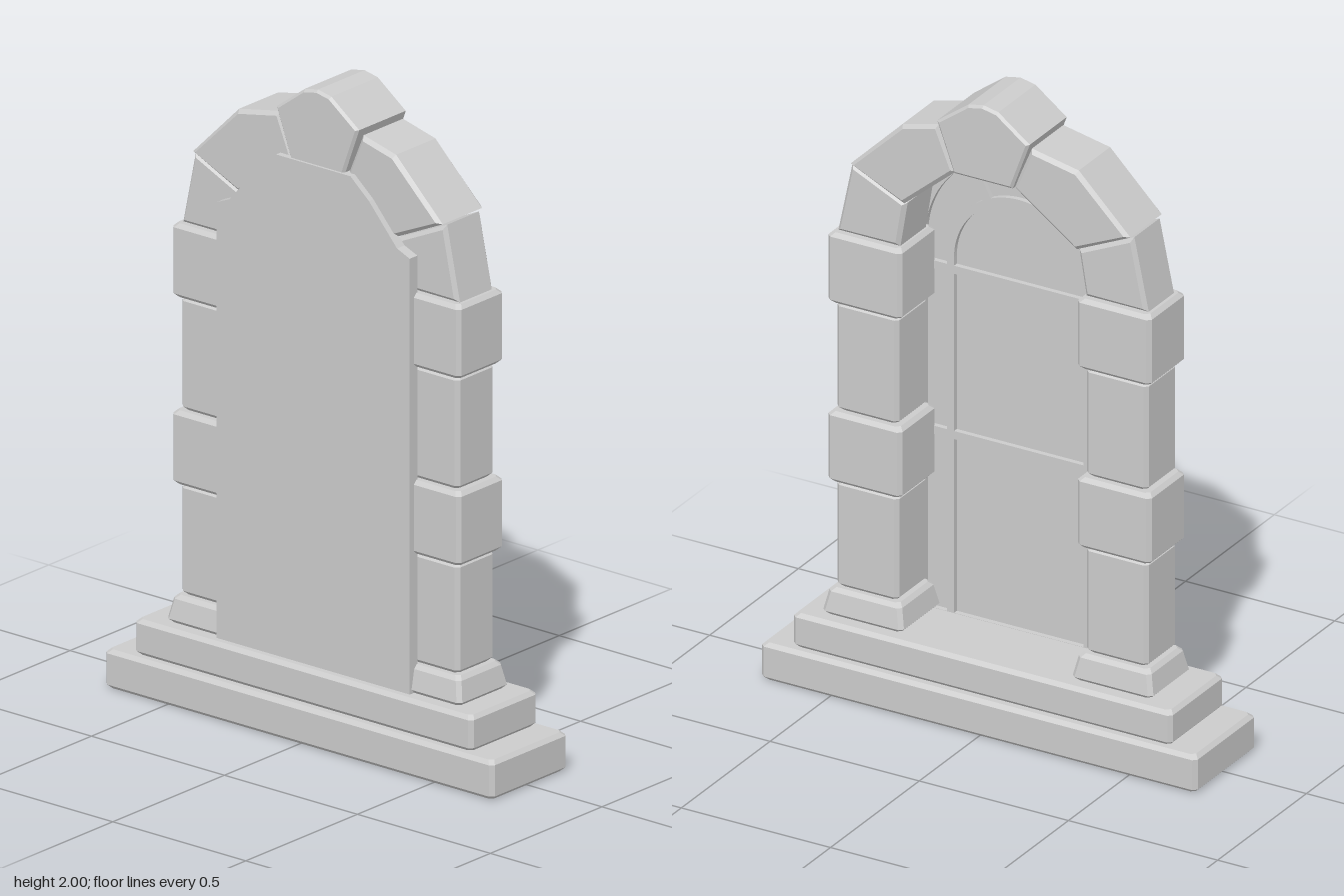
import * as THREE from 'three';

const B = 0.012; // chamfer on every stone edge
const grey = new THREE.MeshStandardMaterial({ color: 0xcccccc, flatShading: true });
const greyOpen = new THREE.MeshStandardMaterial({ color: 0xcccccc, flatShading: true, side: THREE.DoubleSide });

function add(group, name, geometry, material = grey) {
  const mesh = new THREE.Mesh(geometry, material);
  mesh.name = name;
  group.add(mesh);
  return mesh;
}

// Rectangular loop with cut corners at height y
function ring(y, hx, hz, c = B) {
  return [[hx, hz - c], [hx, c - hz], [hx - c, -hz], [c - hx, -hz],
    [-hx, c - hz], [-hx, hz - c], [c - hx, hz], [hx - c, hz]].map(([x, z]) => [x, y, z]);
}

// Chamfered block standing from y0 to y1; (hx, hz) at the foot, (tx, tz) at the top
function block(y0, y1, hx, hz, tx = hx, tz = hz, closed = true) {
  const loops = [ring(y0, hx - B, hz - B), ring(y0 + B, hx, hz), ring(y1 - B, tx, tz), ring(y1, tx - B, tz - B)];
  const pos = [];
  const tri = (a, b, c) => pos.push(...a, ...b, ...c);
  for (let i = 0; i < loops.length - 1; i++) {
    for (let j = 0; j < 8; j++) {
      const k = (j + 1) % 8, lo = loops[i], hi = loops[i + 1];
      tri(lo[j], lo[k], hi[k]);
      tri(lo[j], hi[k], hi[j]);
    }
  }
  const bottom = loops[0], top = loops[3];
  for (let j = 1; j < 7; j++) {
    tri(top[0], top[j], top[j + 1]);
    if (closed) tri(bottom[0], bottom[j + 1], bottom[j]);
  }
  const g = new THREE.BufferGeometry();
  g.setAttribute('position', new THREE.Float32BufferAttribute(pos, 3));
  g.computeVertexNormals();
  return g;
}

// Extrude a (z, y) shape along x from x0 to x1
function slab(shape, x0, x1, bevel = 0) {
  const g = new THREE.ExtrudeGeometry(shape, {
    depth: x1 - x0 - 2 * bevel, curveSegments: 24, bevelEnabled: bevel > 0,
    bevelThickness: bevel, bevelSize: bevel, bevelOffset: -bevel, bevelSegments: 1,
  });
  return g.rotateY(-Math.PI / 2).translate(x1 - bevel, 0, 0);
}

const polygon = (pts) => new THREE.Shape(pts.map(([z, y]) => new THREE.Vector2(z, y)));

// Round-headed outline: straight jambs from y0 up to the springing, then a half circle
function archPath(Type, z, y0, spring, r) {
  const p = new Type();
  p.moveTo(z - r, y0);
  p.lineTo(z + r, y0);
  p.lineTo(z + r, spring);
  p.absarc(z, spring, r, 0, Math.PI, false);
  p.lineTo(z - r, y0);
  return p;
}

export function createModel() {
  const model = new THREE.Group();
  model.name = 'archedStoneWindow';

  // Stepped base, the lower step hollow underneath
  add(model, 'lowerStep', block(0, 0.12, 0.17, 0.73, 0.17, 0.73, false), greyOpen);
  add(model, 'upperStep', block(0.12, 0.23, 0.15, 0.635));

  // Piers: plinth, then alternating shafts and wider blocks
  const courses = [
    ['plinth', 0.23, 0.315, 0.112, 0.135, 0.1, 0.122],
    ['lowerShaft', 0.315, 0.655, 0.084, 0.104],
    ['lowerBlock', 0.655, 0.882, 0.102, 0.124],
    ['upperShaft', 0.882, 1.23, 0.084, 0.104],
    ['upperBlock', 1.23, 1.457, 0.102, 0.124],
  ];
  for (const side of [1, -1]) {
    const pier = new THREE.Group();
    pier.name = side > 0 ? 'frontPier' : 'backPier';
    for (const [name, ...size] of courses) add(pier, name, block(...size));
    pier.position.z = 0.006 + side * 0.418;
    model.add(pier);
  }

  // Arch stones
  const springer = [[0.52, 1.457], [0.472, 1.685], [0.288, 1.602], [0.312, 1.457]];
  for (const side of [1, -1]) {
    const pts = springer.map(([z, y]) => [0.006 + side * z, y]);
    add(model, 'springerStone', slab(polygon(pts), -0.083, 0.083, B));
  }
  const haunches = [
    [[0.475, 1.69], [0.295, 1.607], [0.12, 1.755], [0.178, 1.893], [0.3, 1.862]],
    [[-0.463, 1.69], [-0.283, 1.607], [-0.075, 1.755], [-0.133, 1.893], [-0.29, 1.862]],
  ];
  for (const pts of haunches) add(model, 'haunchStone', slab(polygon(pts), -0.1, 0.1, B));
  const keystone = [[0.175, 1.912], [0.118, 1.757], [-0.078, 1.757], [-0.135, 1.912],
    [-0.03, 1.99], [0.02, 2], [0.07, 1.99]];
  add(model, 'keystone', slab(polygon(keystone), -0.112, 0.112, 0.008));

  // Window: back plate, surround and glazing bars
  const zc = 0.015, y0 = 0.23;
  const half = [[0.363, y0], [0.363, 1.57], [0.315, 1.59], [0.21, 1.71], [0.14, 1.77]];
  const outline = [...half, ...half.map(([z, y]) => [-z, y]).reverse()].map(([z, y]) => [zc + z, y]);
  const window_ = new THREE.Group();
  window_.name = 'window';
  model.add(window_);
  const glass = -0.102, face = -0.086;
  add(window_, 'backPlate', slab(polygon(outline), -0.12, glass));

  const surround = polygon(outline);
  surround.holes.push(archPath(THREE.Path, zc, y0 + 0.001, 1.42, 0.313));
  add(window_, 'surround', slab(surround, glass, face));

  const innerArch = archPath(THREE.Shape, zc, y0, 1.375, 0.24);
  innerArch.holes.push(archPath(THREE.Path, zc, y0 + 0.001, 1.375, 0.217));
  add(window_, 'innerArchBar', slab(innerArch, glass, face));

  for (const y of [0.803, 1.335]) {
    const bar = add(window_, 'crossBar', new THREE.BoxGeometry(face - glass, 0.026, 0.63));
    bar.position.set((face + glass) / 2, y, zc);
  }
  for (const side of [1, -1]) {
    const a = side * 0.47; // lean from vertical
    const bar = add(window_, 'radialBar', new THREE.BoxGeometry(face - glass, 0.13, 0.03));
    bar.position.set((face + glass) / 2, 1.375 + 0.295 * Math.cos(a), zc + 0.295 * Math.sin(a));
    bar.rotation.x = a;
  }
  return model;
}
